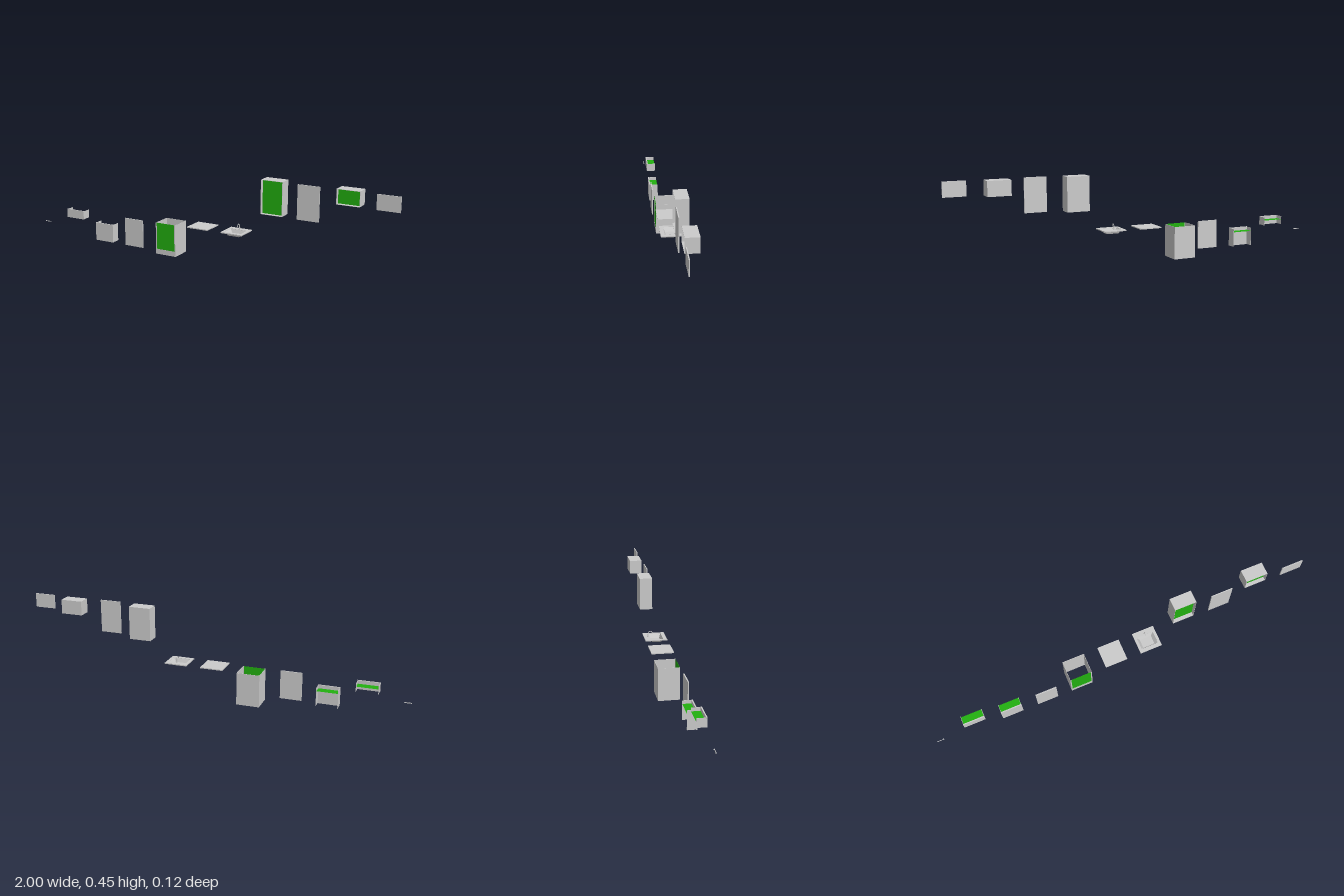
import * as THREE from 'three';

const grey = new THREE.MeshStandardMaterial({ color: 0xcccccc, side: THREE.DoubleSide });
const flatGrey = new THREE.MeshStandardMaterial({ color: 0xcccccc, side: THREE.DoubleSide, flatShading: true });
const green = new THREE.MeshStandardMaterial({ color: 0x22b010, side: THREE.DoubleSide });

const T = 0.0015;                              // sheet thickness
const BACK = -0.057;
const slot = (i) => -0.79 + i * 0.1927;        // the units stand in an even row

// Box given by its min and max corners
function box(parent, name, x0, x1, y0, y1, z0, z1, mat = grey) {
  const m = new THREE.Mesh(new THREE.BoxGeometry(x1 - x0, y1 - y0, z1 - z0), mat);
  m.position.set((x0 + x1) / 2, (y0 + y1) / 2, (z0 + z1) / 2);
  m.name = name;
  parent.add(m);
  return m;
}

function unit(parent, name, x) {
  const g = new THREE.Group();
  g.name = name;
  g.position.x = x;
  parent.add(g);
  return g;
}

// Drawer: front, two sides and a raised tray, open at the back
function drawer(parent, name, x, y0, y1) {
  const g = unit(parent, name, x), w = 0.056;
  box(g, 'drawerFront', -w, w, y0, y1, 0.05, 0.056);
  for (const s of [-1, 1]) {
    const a = s * (w - 0.001), b = s * (w - 0.001 - T);
    box(g, 'drawerSide', Math.min(a, b), Math.max(a, b), y0 + 0.001, y1 - 0.001, 0.008, 0.05);
  }
  const tray = new THREE.Mesh(new THREE.PlaneGeometry(2 * w - 0.004, 0.042), green);
  tray.name = 'drawerTray';
  tray.rotation.x = -Math.PI / 2;
  tray.position.set(0, y1 - 0.018, 0.029);
  g.add(tray);
}

// Back and two sides shared by all cabinets
function carcass(g, w, y0, y1, front) {
  box(g, 'backPanel', -w, w, y0, y1, BACK, BACK + T);
  box(g, 'rightSide', -w, -w + T, y0, y1, BACK, front);
  box(g, 'leftSide', w - T, w, y0, y1, BACK, front);
}

function wallCabinet(parent, name, x, y0, y1) {
  const g = unit(parent, name, x), w = 0.057, front = 0.009;
  carcass(g, w, y0, y1, front);
  box(g, 'bottomPanel', -w, w, y0, y0 + T, BACK, front);
  box(g, 'topPanel', -w, w, y1 - T, y1, BACK, front);
  box(g, 'innerPanel', -w + T, w - T, y0 + T, y1 - T, -0.0115, -0.0105, green);
}

// Base cabinet: open above and below, framed panel in front
function baseCabinet(parent, x) {
  const g = unit(parent, 'baseCabinet', x), w = 0.059, top = 0.168, f = 0.05;
  carcass(g, w, 0, top, f);
  box(g, 'toeKick', -w, w, 0, 0.027, f - T, f);
  box(g, 'rightStile', -w, -w + 0.006, 0.027, top, f - T, f);
  box(g, 'leftStile', w - 0.006, w, 0.027, top, f - T, f);
  box(g, 'innerPanel', -w + 0.006, w - 0.006, 0.027, top, f - T, f - 0.0005, green);
}

function tube(points, radius, name, parent) {
  const curve = new THREE.CatmullRomCurve3(points.map((p) => new THREE.Vector3(...p)));
  const m = new THREE.Mesh(new THREE.TubeGeometry(curve, 28, radius, 10), grey);
  m.name = name;
  parent.add(m);
}

function sinkTop(parent, x) {
  const g = unit(parent, 'sinkCounter', x), w = 0.059, hx = 0.045, hz = 0.032, cz = 0.005;
  // Counter with a cut-out (shape y becomes -z)
  const shape = new THREE.Shape();
  shape.moveTo(-w, -0.057).lineTo(w, -0.057).lineTo(w, 0.057).lineTo(-w, 0.057).closePath();
  const hole = new THREE.Path();
  hole.moveTo(-hx, -cz - hz).lineTo(-hx, -cz + hz).lineTo(hx, -cz + hz).lineTo(hx, -cz - hz).closePath();
  shape.holes.push(hole);
  const geo = new THREE.ExtrudeGeometry(shape, { depth: 0.005, bevelEnabled: false });
  geo.rotateX(-Math.PI / 2);
  const counter = new THREE.Mesh(geo, flatGrey);
  counter.name = 'counterTop';
  counter.position.y = 0.169;
  g.add(counter);

  // Tapered basin walls: four-sided tube with each end fitted to a rectangle
  const walls = new THREE.CylinderGeometry(1, 1, 1, 4, 1, true, Math.PI / 4);
  const p = walls.attributes.position;
  for (let i = 0; i < p.count; i++) {
    const up = p.getY(i) > 0;
    p.setXYZ(i, Math.sign(p.getX(i)) * (up ? hx : 0.031), up ? 0.173 : 0.153,
      cz + Math.sign(p.getZ(i)) * (up ? hz : 0.0235));
  }
  const basin = new THREE.Mesh(walls, flatGrey);
  basin.name = 'basinWalls';
  g.add(basin);
  box(g, 'basinFloor', -0.031, 0.031, 0.153, 0.1535, cz - 0.0235, cz + 0.0235);
  const drain = new THREE.Mesh(new THREE.CylinderGeometry(0.005, 0.005, 0.001, 16), grey);
  drain.name = 'drain';
  drain.position.set(0, 0.154, cz);
  g.add(drain);

  // Gooseneck tap
  const r = 0.0105, pts = [[0, 0.173, -0.035], [0, 0.184, -0.035]];
  for (let i = 0; i <= 8; i++) {
    const a = (i / 8) * Math.PI * 1.02;
    pts.push([0, 0.193 + r * Math.sin(a), -0.0245 - r * Math.cos(a)]);
  }
  tube(pts, 0.0018, 'tapNeck', g);
  const foot = new THREE.Mesh(new THREE.CylinderGeometry(0.0027, 0.003, 0.009, 12), grey);
  foot.name = 'tapFoot';
  foot.position.set(0, 0.178, -0.035);
  g.add(foot);
  tube([[0, 0.18, -0.035], [0.005, 0.181, -0.035], [0.009, 0.184, -0.035]], 0.001, 'tapLever', g);
}

export function createModel() {
  const root = new THREE.Group();
  root.name = 'kitchenUnits';

  // Bar handle on two posts
  const handle = unit(root, 'handle', -0.9815);
  box(handle, 'handleBar', -0.0185, 0.0185, 0.0785, 0.0825, 0.0575, 0.0595);
  for (const s of [-1, 1]) {
    box(handle, 'handlePost', s * 0.015 - 0.0015, s * 0.015 + 0.0015, 0.079, 0.082, 0.055, 0.0578);
  }

  drawer(root, 'smallDrawer', slot(0), 0.122, 0.168);
  drawer(root, 'largeDrawer', slot(1), 0.02, 0.118);

  const baseDoor = unit(root, 'baseDoor', slot(2));
  box(baseDoor, 'doorPanel', -0.056, 0.056, 0.02, 0.168, 0.05, 0.056);

  baseCabinet(root, slot(3));

  const worktop = unit(root, 'worktop', slot(4));
  box(worktop, 'worktopSlab', -0.059, 0.059, 0.169, 0.174, -0.057, 0.057);

  sinkTop(root, slot(5));

  // Wall cabinets, each followed by its door
  [['tall', 6, 0.281], ['short', 8, 0.378]].forEach(([size, i, y0]) => {
    wallCabinet(root, size + 'WallCabinet', slot(i), y0, 0.452);
    const door = unit(root, size + 'WallDoor', slot(i + 1));
    box(door, 'doorPanel', -0.056, 0.056, y0, 0.452, 0.009, 0.014);
  });

  return root;
}
